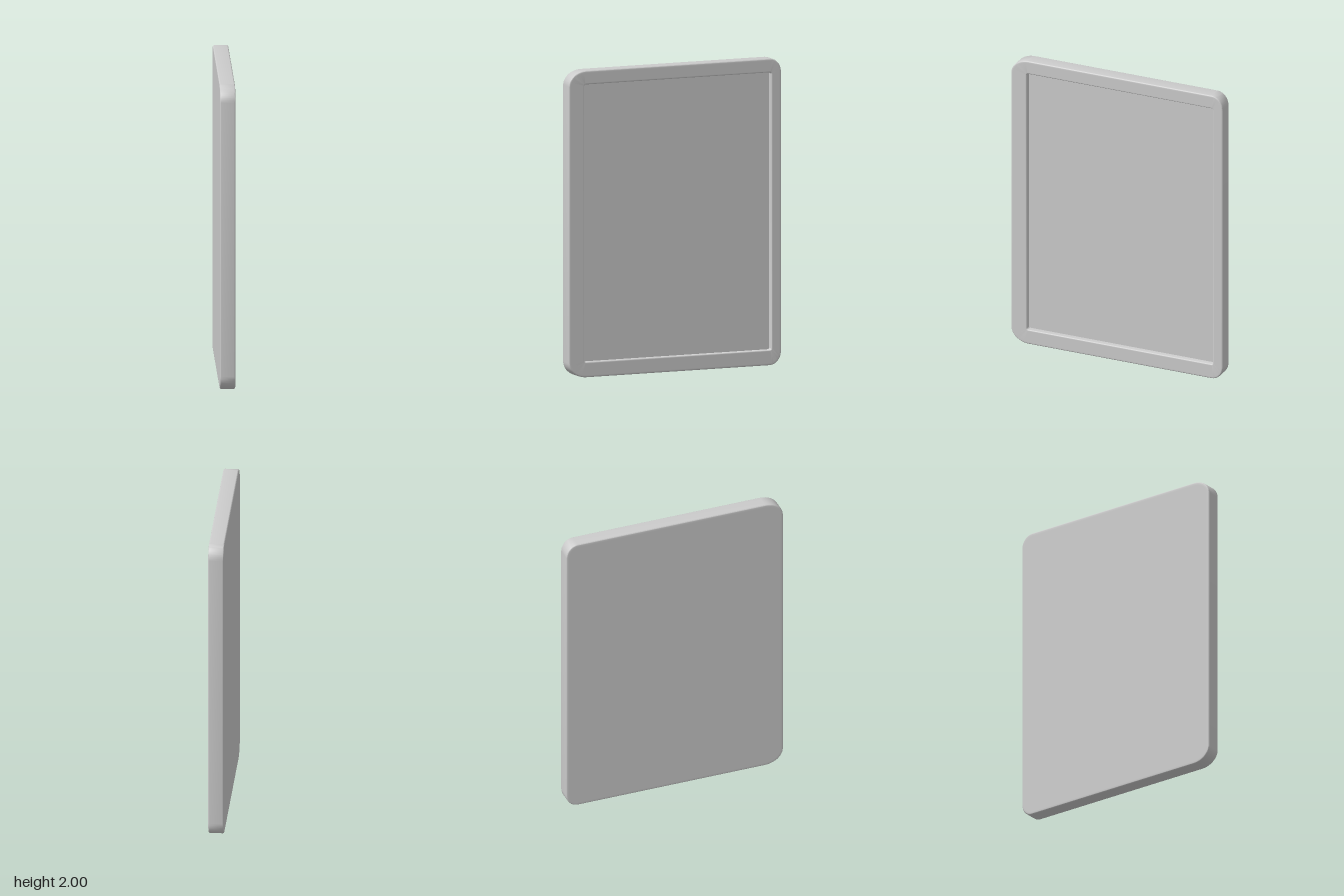
import * as THREE from 'three';
import { toCreasedNormals } from 'three/addons/utils/BufferGeometryUtils.js';

const SEG = 10; // steps per corner

// Rounded rectangle in the (z, y) plane at depth x; corner radii differ between the +z and -z sides.
function ring(x, r, inset) {
  const pts = [];
  const z0 = r.zMin + inset, z1 = r.zMax - inset;
  const y0 = r.yMin + inset, y1 = r.yMax - inset;
  for (let c = 0; c < 4; c++) {
    const top = c < 2, back = c === 0 || c === 3;
    const [rz, ry] = (back ? r.backR : r.frontR).map(v => Math.max(v - inset, 0.003));
    const cz = back ? z0 + rz : z1 - rz;
    const cy = top ? y1 - ry : y0 + ry;
    for (let i = 0; i <= SEG; i++) {
      const a = (c + i / SEG) * Math.PI / 2;
      pts.push([x, cy + ry * Math.sin(a), cz - rz * Math.cos(a)]);
    }
  }
  return pts;
}

const centre = (x, r) => Array(4 * (SEG + 1)).fill([x, (r.yMin + r.yMax) / 2, (r.zMin + r.zMax) / 2]);

// Skin a list of rings that all have the same number of points.
function loft(rings) {
  const pos = [], n = rings[0].length;
  const same = (p, q) => p.every((v, i) => Math.abs(v - q[i]) < 1e-7);
  const tri = (a, b, c) => {
    if (!same(a, b) && !same(b, c) && !same(a, c)) pos.push(...a, ...b, ...c);
  };
  for (let k = 0; k < rings.length - 1; k++) {
    for (let i = 0; i < n; i++) {
      const j = (i + 1) % n;
      const a = rings[k][i], b = rings[k][j], c = rings[k + 1][j], d = rings[k + 1][i];
      tri(a, b, c);
      tri(a, c, d);
    }
  }
  const g = new THREE.BufferGeometry();
  g.setAttribute('position', new THREE.Float32BufferAttribute(pos, 3));
  return toCreasedNormals(g, 0.6);
}

export function createModel() {
  const group = new THREE.Group();
  const material = new THREE.MeshStandardMaterial({ color: 0xcccccc });
  const add = (name, rings) => {
    const mesh = new THREE.Mesh(loft(rings), material);
    mesh.name = name;
    group.add(mesh);
  };

  const outer = { zMin: -0.75, zMax: 0.75, yMin: 0, yMax: 2, backR: [0.08, 0.09], frontR: [0.125, 0.1] };
  const recess = { zMin: -0.68, zMax: 0.64, yMin: 0.1, yMax: 1.91, backR: [0.01, 0.01], frontR: [0.01, 0.01] };
  const half = 0.05, edge = 0.008, lip = 0.007, floorX = 0.013, steps = 4;

  // Casing: flat back, softened outer edges, rim and recess wall
  const casing = [centre(-half, outer), ring(-half, outer, 0.02)];
  for (let i = 0; i <= steps; i++) {
    const a = i / steps * Math.PI / 2;
    casing.push(ring(-half + edge * (1 - Math.sin(a)) * 1, outer, edge * (1 - Math.cos(a))));
  }
  // order the back edge from the flat face outwards
  casing.splice(2, steps + 1, ...casing.slice(2).reverse());
  for (let i = 0; i <= steps; i++) {
    const a = i / steps * Math.PI / 2;
    casing.push(ring(half - edge * (1 - Math.sin(a)), outer, edge * (1 - Math.cos(a))));
  }
  casing.push(ring(half, outer, 0.015), ring(half, recess, -lip - 0.004));
  for (let i = 0; i <= steps; i++) {
    const a = i / steps * Math.PI / 2;
    casing.push(ring(half - lip * (1 - Math.cos(a)), recess, -lip * (1 - Math.sin(a))));
  }
  casing.push(ring(floorX, recess, 0));
  add('casing', casing);

  // Sunken panel at the bottom of the recess
  add('panel', [ring(floorX, recess, 0), centre(floorX, recess)]);

  return group;
}
